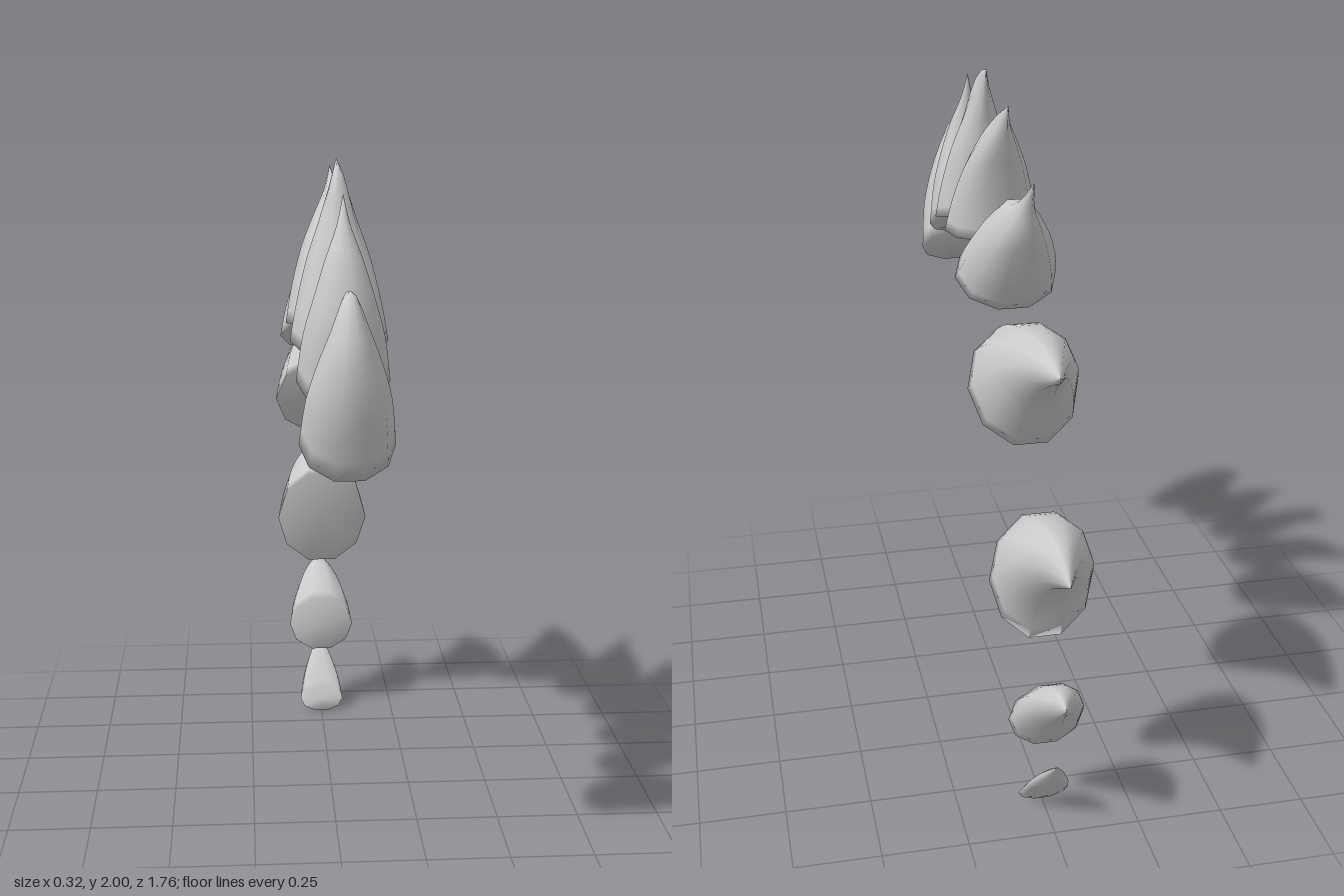
import * as THREE from 'three';

const SIDES = 10, RINGS = 15;
const WIDTHS = [1, 0.87, 0.65, 0.39, 0.15, 0]; // width falloff from root to tip

const curve = (pts) => new THREE.CatmullRomCurve3(pts.map(([z, y]) => new THREE.Vector3(0, y, z)));

// Curved spine lofted between a leading and a trailing edge given as [z, y] points
function spine(halfWidth, lead, trail, tip) {
  const a = curve([...lead, tip]), b = curve([...trail, tip]);
  const widths = curve(WIDTHS.map((w, i) => [i, w]));
  const pos = [], index = [];
  for (let i = 0; i <= RINGS; i++) {
    const t = i / RINGS;
    const p = a.getPoint(t), q = b.getPoint(t);
    const mid = p.clone().add(q).multiplyScalar(0.5);
    const half = p.sub(q).multiplyScalar(0.5 / Math.cos(Math.PI / SIDES));
    const w = halfWidth * Math.max(0, widths.getPoint(t).y);
    for (let j = 0; j < SIDES; j++) {
      const ang = ((j + 0.5) / SIDES) * Math.PI * 2;
      const c = Math.cos(ang);
      pos.push(w * Math.sin(ang), mid.y + half.y * c, mid.z + half.z * c);
      if (i < RINGS) {
        const k = i * SIDES + j, n = i * SIDES + ((j + 1) % SIDES);
        index.push(k, n, n + SIDES, k, n + SIDES, k + SIDES);
      }
    }
  }
  // Closed root
  const centre = pos.length / 3;
  pos.push(0, (lead[0][1] + trail[0][1]) / 2, (lead[0][0] + trail[0][0]) / 2);
  for (let j = 0; j < SIDES; j++) index.push(centre, (j + 1) % SIDES, j);

  const geo = new THREE.BufferGeometry();
  geo.setAttribute('position', new THREE.Float32BufferAttribute(pos, 3));
  geo.setIndex(index);
  geo.computeVertexNormals();
  return geo;
}

export function createModel() {
  const group = new THREE.Group();
  group.name = 'backSpines';
  const material = new THREE.MeshStandardMaterial({ color: 0xcccccc });
  let count = 0;
  const add = (...args) => {
    const mesh = new THREE.Mesh(spine(...args), material);
    mesh.name = `spine${++count}`;
    group.add(mesh);
  };

  // Hooked front spine
  add(0.125, [[0.8, 1.24], [0.86, 1.39], [0.88, 1.51], [0.87, 1.61], [0.81, 1.715]],
    [[0.625, 1.39], [0.68, 1.5], [0.725, 1.57], [0.765, 1.64], [0.775, 1.685]], [0.7, 1.695]);
  // Upright spines over the crown
  add(0.125, [[0.625, 1.39], [0.64, 1.52], [0.645, 1.62], [0.61, 1.76], [0.565, 1.85]],
    [[0.465, 1.5], [0.487, 1.61], [0.513, 1.71], [0.53, 1.78], [0.53, 1.85]], [0.525, 1.93]);
  add(0.135, [[0.46, 1.495], [0.445, 1.606], [0.407, 1.74], [0.365, 1.86], [0.32, 1.97]],
    [[0.28, 1.545], [0.28, 1.63], [0.275, 1.74], [0.27, 1.82], [0.254, 1.91]], [0.222, 2]);
  add(0.14, [[0.275, 1.545], [0.228, 1.643], [0.175, 1.754], [0.116, 1.84], [0.04, 1.905]],
    [[0.063, 1.527], [0.048, 1.63], [0.02, 1.74], [-0.015, 1.82], [-0.05, 1.89]], [-0.09, 1.96]);
  // Swept-back spines
  add(0.15, [[0.063, 1.527], [-0.03, 1.6], [-0.106, 1.67], [-0.16, 1.715], [-0.27, 1.74]],
    [[-0.164, 1.395], [-0.217, 1.474], [-0.275, 1.57], [-0.328, 1.66], [-0.36, 1.74]], [-0.418, 1.83]);
  add(0.16, [[-0.19, 1.352], [-0.286, 1.394], [-0.418, 1.43], [-0.55, 1.44], [-0.667, 1.43]],
    [[-0.402, 1.077], [-0.47, 1.172], [-0.534, 1.262], [-0.614, 1.33], [-0.698, 1.378]], [-0.73, 1.405]);
  // Rear spines, shrinking downwards
  add(0.15, [[-0.497, 0.907], [-0.577, 0.939], [-0.667, 0.955], [-0.751, 0.955], [-0.815, 0.929]],
    [[-0.598, 0.569], [-0.645, 0.68], [-0.698, 0.76], [-0.762, 0.817], [-0.84, 0.86]], [-0.878, 0.88]);
  add(0.11, [[-0.619, 0.415], [-0.683, 0.463], [-0.74, 0.495], [-0.8, 0.51], [-0.83, 0.505]],
    [[-0.624, 0.225], [-0.683, 0.3], [-0.725, 0.352], [-0.772, 0.4], [-0.825, 0.452]], [-0.858, 0.49]);
  add(0.075, [[-0.614, 0.082], [-0.65, 0.128], [-0.69, 0.175], [-0.725, 0.208], [-0.752, 0.23]],
    [[-0.587, 0.002], [-0.635, 0.06], [-0.677, 0.108], [-0.71, 0.152], [-0.745, 0.205]], [-0.772, 0.246]);

  return group;
}
